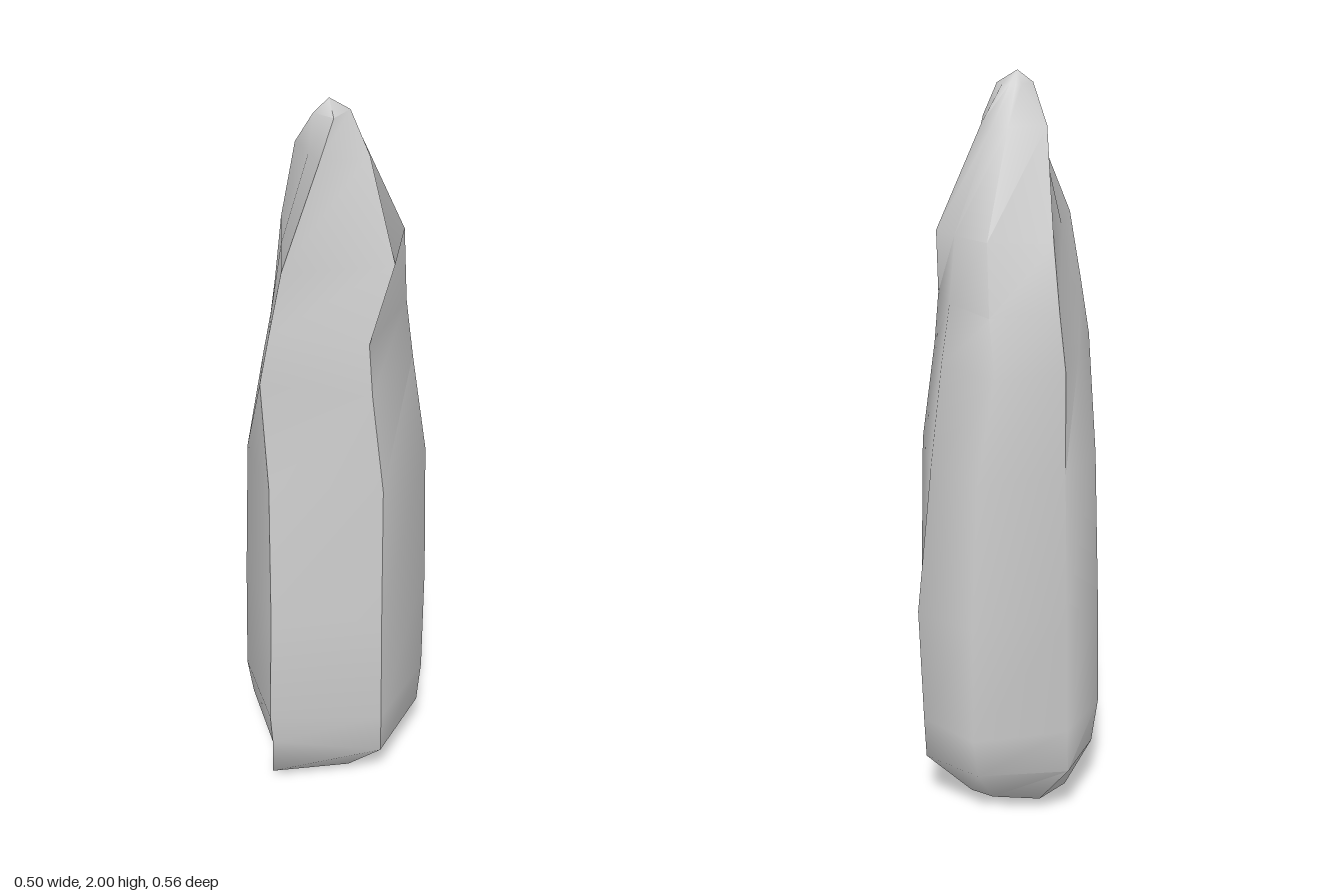
import * as THREE from 'three';
import { toCreasedNormals } from 'three/addons/utils/BufferGeometryUtils.js';

// Seven ridges run up the spire, in order: front, left, back left, back, back right, right, front right.
// Each ring holds the [x, z] of every ridge at the height with the same index.
const heights = [0.05, 0.2, 0.32, 0.65, 1.05, 1.32, 1.46, 1.63, 1.88, 1.97];
const rings = [
  [[-0.01, 0.23], [0.12, 0.06], [0.09, -0.1], [0, -0.13], [-0.06, -0.1], [-0.14, 0], [-0.12, 0.1]],
  [[0.02, 0.255], [0.25, 0.07], [0.18, -0.15], [0.02, -0.26], [-0.14, -0.2], [-0.255, 0.01], [-0.17, 0.15]],
  [[0.04, 0.28], [0.25, 0.07], [0.18, -0.165], [0.02, -0.265], [-0.15, -0.22], [-0.248, 0.01], [-0.17, 0.17]],
  [[0.04, 0.268], [0.245, 0.07], [0.18, -0.165], [0.015, -0.278], [-0.15, -0.22], [-0.237, 0.01], [-0.165, 0.165]],
  [[0.025, 0.25], [0.232, 0.06], [0.175, -0.155], [0, -0.24], [-0.15, -0.2], [-0.225, 0.01], [-0.155, 0.155]],
  [[-0.025, 0.225], [0.205, 0.075], [0.14, -0.135], [-0.01, -0.21], [-0.165, -0.16], [-0.22, 0.01], [-0.125, 0.12]],
  [[0, 0.215], [0.197, 0.08], [0.11, -0.14], [0.02, -0.165], [-0.13, -0.15], [-0.2, 0.005], [-0.1, 0.11]],
  [[0.03, 0.2], [0.185, -0.015], [0.075, -0.165], [0.01, -0.155], [-0.085, -0.125], [-0.18, 0], [-0.075, 0.1]],
  [[0.055, 0.1], [0.11, -0.005], [0.035, -0.06], [-0.015, -0.065], [-0.04, -0.035], [-0.065, 0.06], [0, 0.08]],
  [[0.055, 0.055], [0.045, -0.008], [0.02, -0.01], [0.005, 0], [-0.005, 0.01], [-0.01, 0.025], [0, 0.065]],
];
const foot = [0.05, 0, 0];
const tip = [0.015, 2, 0.03];

// Joins the rings with quads and closes both ends with fans.
function spireGeometry() {
  const sides = rings[0].length;
  const positions = [];
  const point = (r, i) => {
    const [x, z] = rings[r][i % sides];
    return [x, heights[r], z];
  };
  const triangle = (a, b, c) => positions.push(...a, ...b, ...c);
  const last = rings.length - 1;

  for (let i = 0; i < sides; i++) {
    triangle(foot, point(0, i + 1), point(0, i));
    for (let r = 0; r < last; r++) {
      triangle(point(r, i), point(r, i + 1), point(r + 1, i + 1));
      triangle(point(r, i), point(r + 1, i + 1), point(r + 1, i));
    }
    triangle(point(last, i), point(last, i + 1), tip);
  }

  const geometry = new THREE.BufferGeometry();
  geometry.setAttribute('position', new THREE.Float32BufferAttribute(positions, 3));
  // Only the sharp front and left ridges stay creased.
  return toCreasedNormals(geometry, THREE.MathUtils.degToRad(58));
}

export function createModel() {
  const group = new THREE.Group();
  group.name = 'rockSpire';

  const rock = new THREE.Mesh(spireGeometry(), new THREE.MeshStandardMaterial({ color: 0xcccccc }));
  rock.name = 'rock';
  group.add(rock);

  return group;
}
